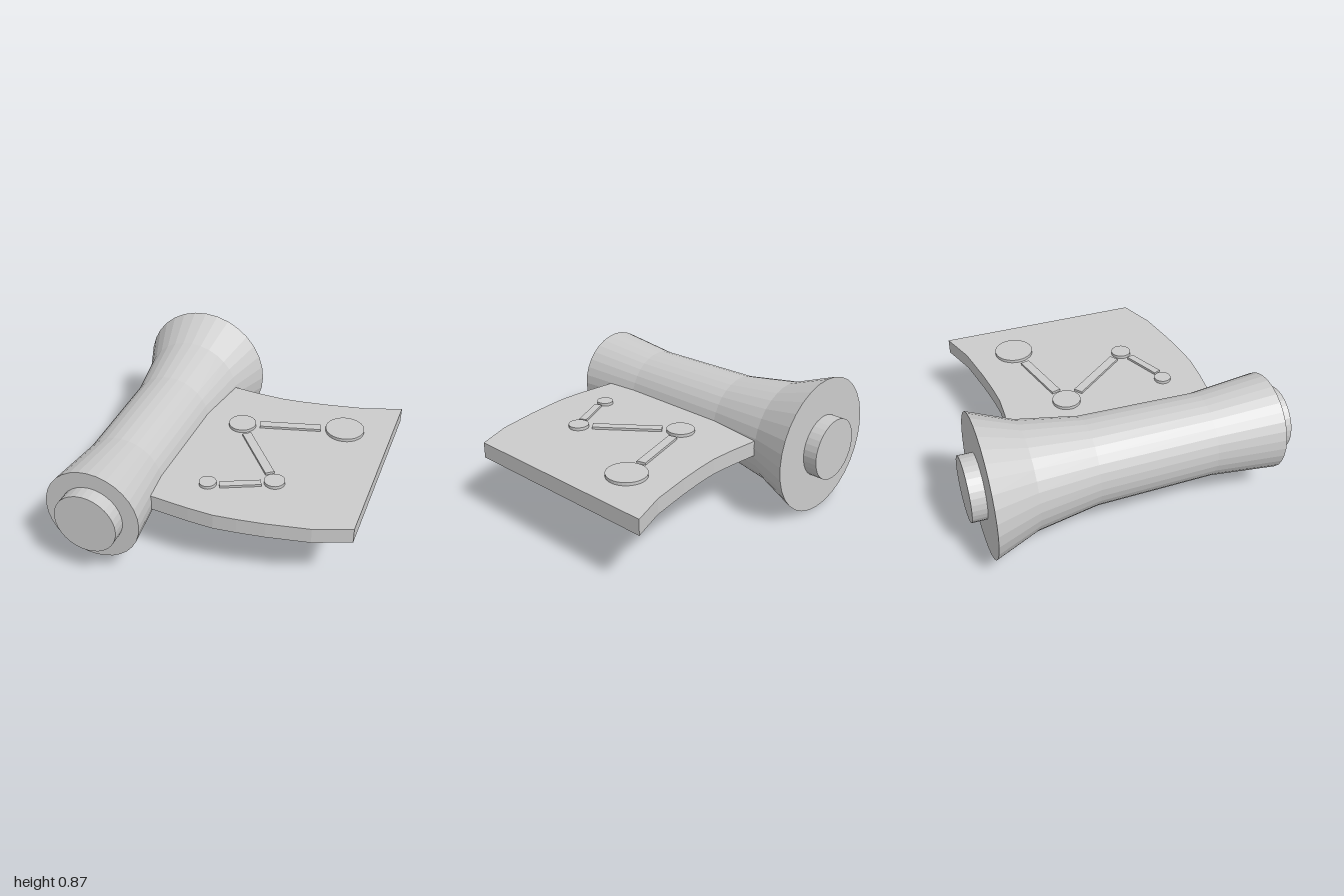
import * as THREE from 'three';

const material = new THREE.MeshStandardMaterial({ color: 0xcccccc, flatShading: true });
const AXIS_X = -0.522, AXIS_Y = 0.44;
const PLATE_TOP = 0.49, PLATE_THICKNESS = 0.1;

export function createModel() {
  const group = new THREE.Group();
  const add = (name, geometry, x, y, z) => {
    const mesh = new THREE.Mesh(geometry, material);
    mesh.name = name;
    mesh.position.set(x, y, z);
    group.add(mesh);
    return mesh;
  };

  // Waisted roller, flared at the back; profile is [radius, z]
  const profile = [
    [0, -0.91], [0.437, -0.91], [0.333, -0.64], [0.272, -0.26],
    [0.26, 0.48], [0.302, 0.91], [0, 0.91],
  ].map(([r, z]) => new THREE.Vector2(r, z));
  add('roller', new THREE.LatheGeometry(profile, 32).rotateX(Math.PI / 2), AXIS_X, AXIS_Y, 0);

  // Short axle stub at each end of the roller
  for (const side of [1, -1]) {
    const stub = new THREE.CylinderGeometry(0.198, 0.198, 0.14, 32).rotateX(Math.PI / 2);
    add(side > 0 ? 'frontAxleStub' : 'backAxleStub', stub, AXIS_X, AXIS_Y, side * 0.93);
  }

  // Sheet unrolling from the roller, with wavy front and back edges [x, z]
  const backEdge = [[-0.4, -0.665], [-0.19, -0.635], [0, -0.617], [0.16, -0.61],
    [0.3, -0.622], [0.47, -0.645], [0.73, -0.692], [0.955, -0.77]];
  const frontEdge = [[0.955, 0.555], [0.73, 0.64], [0.47, 0.687], [0.3, 0.708],
    [0.16, 0.72], [0, 0.711], [-0.24, 0.685], [-0.4, 0.663]];
  const outline = new THREE.Shape([...backEdge, ...frontEdge].map(([x, z]) => new THREE.Vector2(x, z)));
  const sheet = new THREE.ExtrudeGeometry(outline, { depth: PLATE_THICKNESS, bevelEnabled: false });
  add('sheet', sheet.rotateX(Math.PI / 2), 0, PLATE_TOP, 0);

  // Raised round markers: x, z, radius
  const discs = [[0.01, -0.21, 0.089], [0.657, -0.38, 0.125], [0.4, 0.307, 0.064], [0.026, 0.457, 0.053]];
  discs.forEach(([x, z, r], i) => {
    add(`marker${i + 1}`, new THREE.CylinderGeometry(r, r, 0.04, 32), x, PLATE_TOP, z);
  });

  // Raised bars linking the markers: x1, z1, x2, z2, width
  const bars = [
    [0.119, -0.245, 0.503, -0.344, 0.058],
    [0.074, -0.111, 0.347, 0.236, 0.058],
    [0.098, 0.45, 0.328, 0.347, 0.047],
  ];
  bars.forEach(([x1, z1, x2, z2, width], i) => {
    const length = Math.hypot(x2 - x1, z2 - z1);
    const bar = add(`link${i + 1}`, new THREE.BoxGeometry(length, 0.03, width),
      (x1 + x2) / 2, PLATE_TOP, (z1 + z2) / 2);
    bar.rotation.y = -Math.atan2(z2 - z1, x2 - x1);
  });

  return group;
}
